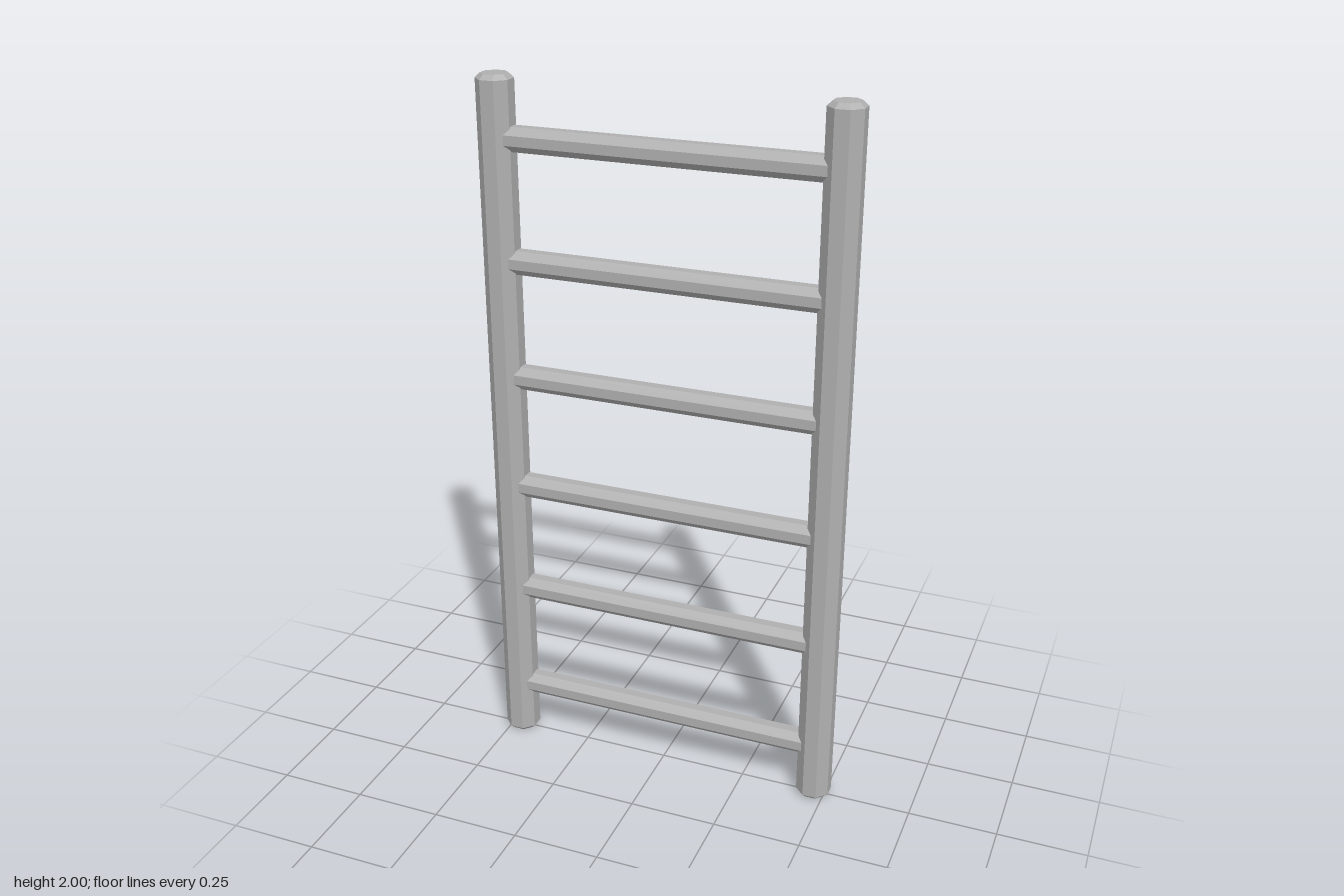
import * as THREE from 'three';

const SIDES = 8;
const POST_X = 0.468, POST_APOTHEM = 0.047, BEVEL = 0.013;
const RUNG_APOTHEM = 0.033, RUNG_COUNT = 6, HEIGHT = 2;

// circumradius of an octagon from its centre-to-flat distance
const corner = (apothem) => apothem / Math.cos(Math.PI / SIDES);

export function createModel() {
  const group = new THREE.Group();
  group.name = 'ladder';
  const metal = new THREE.MeshStandardMaterial({ color: 0xb0b0b0 });
  metal.name = 'grey metal';

  // octagonal post with bevelled ends, flats facing the axes
  const r = corner(POST_APOTHEM), rEnd = corner(POST_APOTHEM - BEVEL);
  const profile = [[0, 0], [rEnd, 0], [r, BEVEL], [r, HEIGHT - BEVEL], [rEnd, HEIGHT], [0, HEIGHT]]
    .map(([x, y]) => new THREE.Vector2(x, y));
  const postGeometry = new THREE.LatheGeometry(profile, SIDES, Math.PI / SIDES).toNonIndexed();
  postGeometry.computeVertexNormals();
  for (const side of [1, -1]) {
    const post = new THREE.Mesh(postGeometry, metal);
    post.name = side > 0 ? 'leftPost' : 'rightPost';
    post.position.x = side * POST_X;
    group.add(post);
  }

  // octagonal rungs, ending inside the posts
  const rr = corner(RUNG_APOTHEM);
  const rungGeometry = new THREE.CylinderGeometry(rr, rr, POST_X * 2, SIDES, 1, true, Math.PI / SIDES)
    .rotateZ(Math.PI / 2).toNonIndexed();
  rungGeometry.computeVertexNormals();
  for (let i = 0; i < RUNG_COUNT; i++) {
    const rung = new THREE.Mesh(rungGeometry, metal);
    rung.name = `rung${i + 1}`;
    rung.position.y = HEIGHT * (i + 0.5) / RUNG_COUNT;
    group.add(rung);
  }
  return group;
}
